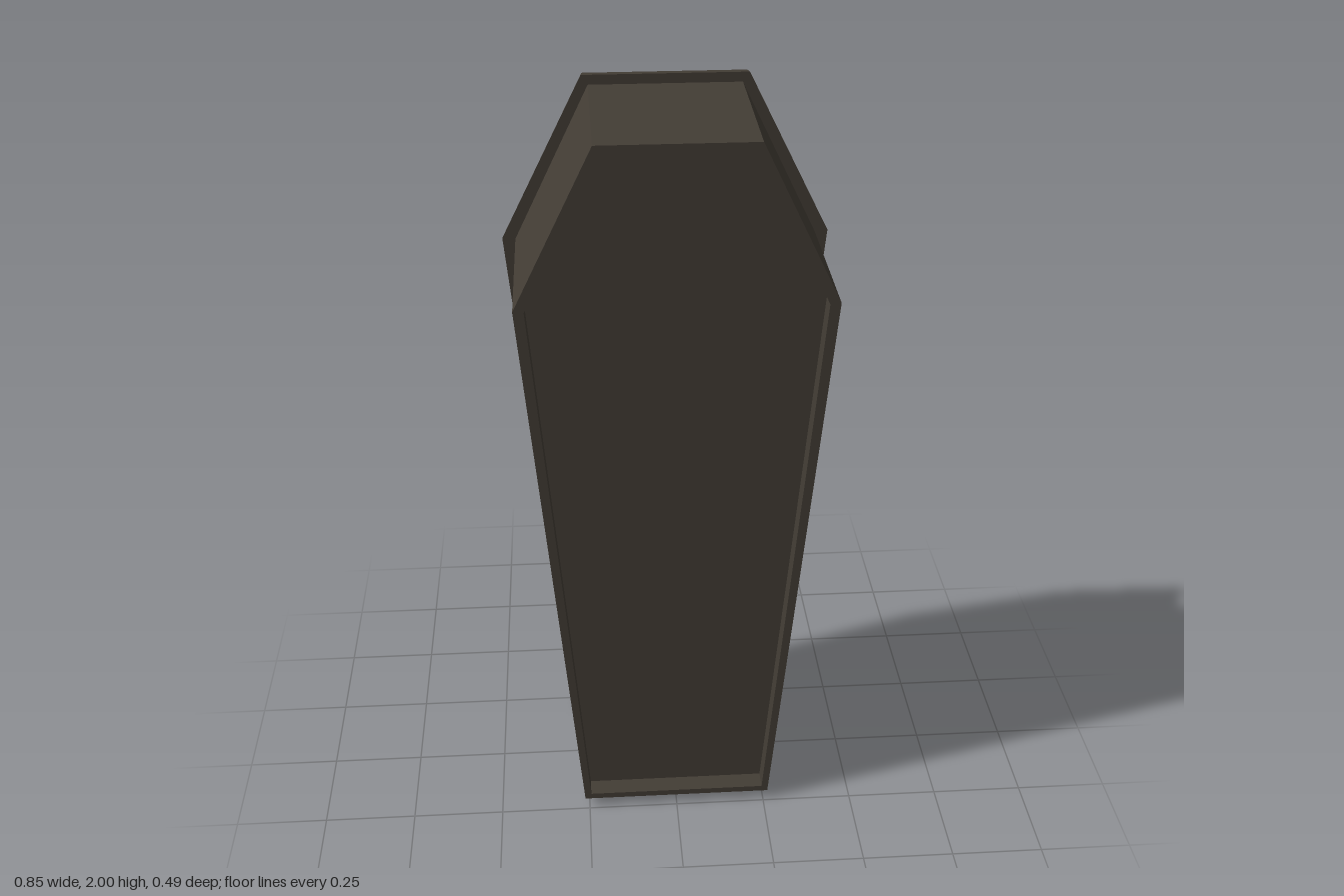
import * as THREE from 'three';

// Six-sided outline, counter-clockwise seen from the front
function outline(bottomHalf, bottomY, shoulderHalf, shoulderY, topHalf, topY, z) {
  return [
    [-bottomHalf, bottomY, z], [bottomHalf, bottomY, z],
    [shoulderHalf, shoulderY, z], [topHalf, topY, z],
    [-topHalf, topY, z], [-shoulderHalf, shoulderY, z],
  ];
}

// Joins successive outlines with flat walls and closes both ends
function loft(rings) {
  const points = [];
  const n = rings[0].length;
  const triangle = (a, b, c) => points.push(...a, ...b, ...c);
  for (let i = 0; i < rings.length - 1; i++) {
    for (let j = 0; j < n; j++) {
      const k = (j + 1) % n;
      const [p, q] = [rings[i], rings[i + 1]];
      triangle(p[j], p[k], q[k]);
      triangle(p[j], q[k], q[j]);
    }
  }
  const first = rings[0];
  const last = rings[rings.length - 1];
  for (let j = 1; j < n - 1; j++) {
    triangle(first[0], first[j + 1], first[j]);
    triangle(last[0], last[j], last[j + 1]);
  }
  const geometry = new THREE.BufferGeometry();
  geometry.setAttribute('position', new THREE.Float32BufferAttribute(points, 3));
  geometry.computeVertexNormals();
  return geometry;
}

export function createModel() {
  const group = new THREE.Group();
  group.name = 'coffin';
  const darkWood = new THREE.MeshStandardMaterial({ color: 0x433d35 });
  darkWood.name = 'darkWood';

  const add = (name, rings) => {
    const mesh = new THREE.Mesh(loft(rings), darkWood);
    mesh.name = name;
    group.add(mesh);
  };

  // Box with a narrow rim around a shallow recessed front panel
  add('body', [
    outline(0.262, 0.03, 0.393, 1.57, 0.194, 1.975, -0.205),
    outline(0.262, 0.03, 0.393, 1.57, 0.194, 1.975, 0.243),
    outline(0.245, 0.047, 0.366, 1.567, 0.181, 1.955, 0.243),
    outline(0.245, 0.047, 0.366, 1.567, 0.181, 1.955, 0.19),
  ]);

  // Overhanging slab with slightly bevelled edges
  add('lid', [
    outline(0.279, 0.006, 0.419, 1.573, 0.208, 1.994, -0.243),
    outline(0.285, 0, 0.427, 1.573, 0.211, 2, -0.205),
  ]);

  return group;
}
